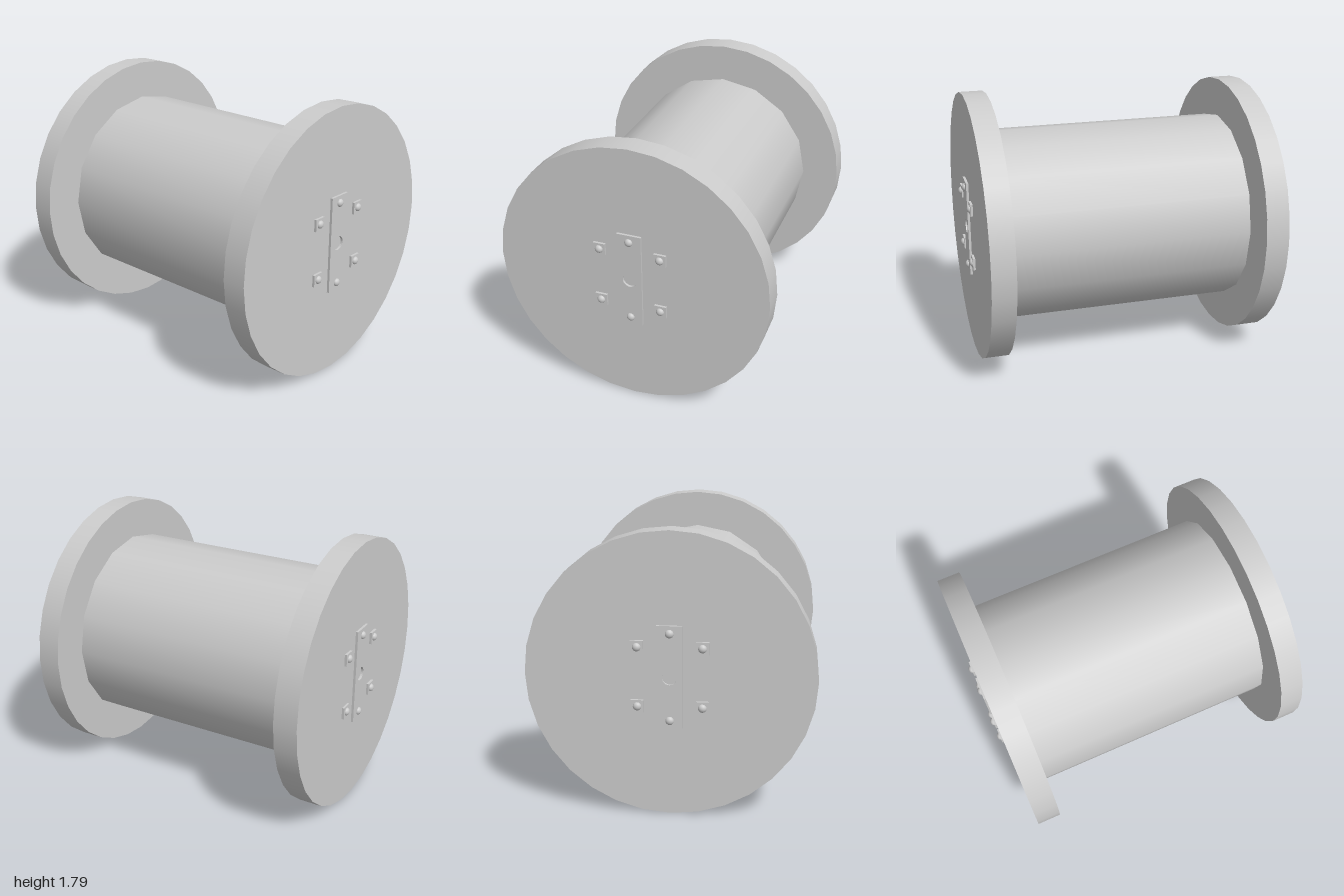
import * as THREE from 'three';

const material = new THREE.MeshStandardMaterial({ color: 0xcccccc });
const AXIS_Y = 0.9;

function addMesh(parent, name, geometry, x, y, z) {
  const mesh = new THREE.Mesh(geometry, material);
  mesh.name = name;
  mesh.position.set(x, y, z);
  parent.add(mesh);
  return mesh;
}

// Cylinder lying along x
function xCylinder(radius, length, sides) {
  return new THREE.CylinderGeometry(radius, radius, length, sides).rotateZ(Math.PI / 2);
}

// Domed bolt head pointing to +x
function boltGeometry() {
  return new THREE.SphereGeometry(0.027, 16, 6, 0, Math.PI * 2, 0, Math.PI / 2)
    .rotateZ(-Math.PI / 2)
    .scale(0.022 / 0.027, 1, 1);
}

// Upright plate with a round axle hole, facing +x
function plateGeometry() {
  const shape = new THREE.Shape();
  shape.moveTo(-0.08, -0.324);
  shape.lineTo(0.08, -0.324);
  shape.lineTo(0.08, 0.324);
  shape.lineTo(-0.08, 0.324);
  shape.closePath();
  const hole = new THREE.Path();
  hole.absarc(0, 0, 0.046, 0, Math.PI * 2, true);
  shape.holes.push(hole);
  return new THREE.ExtrudeGeometry(shape, { depth: 0.016, bevelEnabled: false, curveSegments: 12 })
    .rotateY(Math.PI / 2);
}

// One end of the spool, built facing +x around the axis
function createEnd(name) {
  const end = new THREE.Group();
  end.name = name;
  addMesh(end, 'flange', xCylinder(0.897, 0.156, 32), 0.887, 0, 0);
  addMesh(end, 'axlePlate', plateGeometry(), 0.965, 0, 0);
  for (const sy of [-1, 1]) {
    addMesh(end, 'plateBolt', boltGeometry(), 0.978, sy * 0.275, 0);
    for (const sz of [-1, 1]) {
      addMesh(end, 'washer', new THREE.BoxGeometry(0.016, 0.08, 0.08), 0.973, sy * 0.188, sz * 0.2);
      addMesh(end, 'washerBolt', boltGeometry(), 0.978, sy * 0.188, sz * 0.2);
    }
  }
  end.position.y = AXIS_Y;
  return end;
}

export function createModel() {
  const model = new THREE.Group();
  model.name = 'cableSpool';
  addMesh(model, 'drum', xCylinder(0.645, 1.62, 16), 0, AXIS_Y, 0);
  const leftEnd = createEnd('leftEnd');
  const rightEnd = createEnd('rightEnd');
  rightEnd.rotation.y = Math.PI;
  model.add(leftEnd, rightEnd);
  return model;
}
